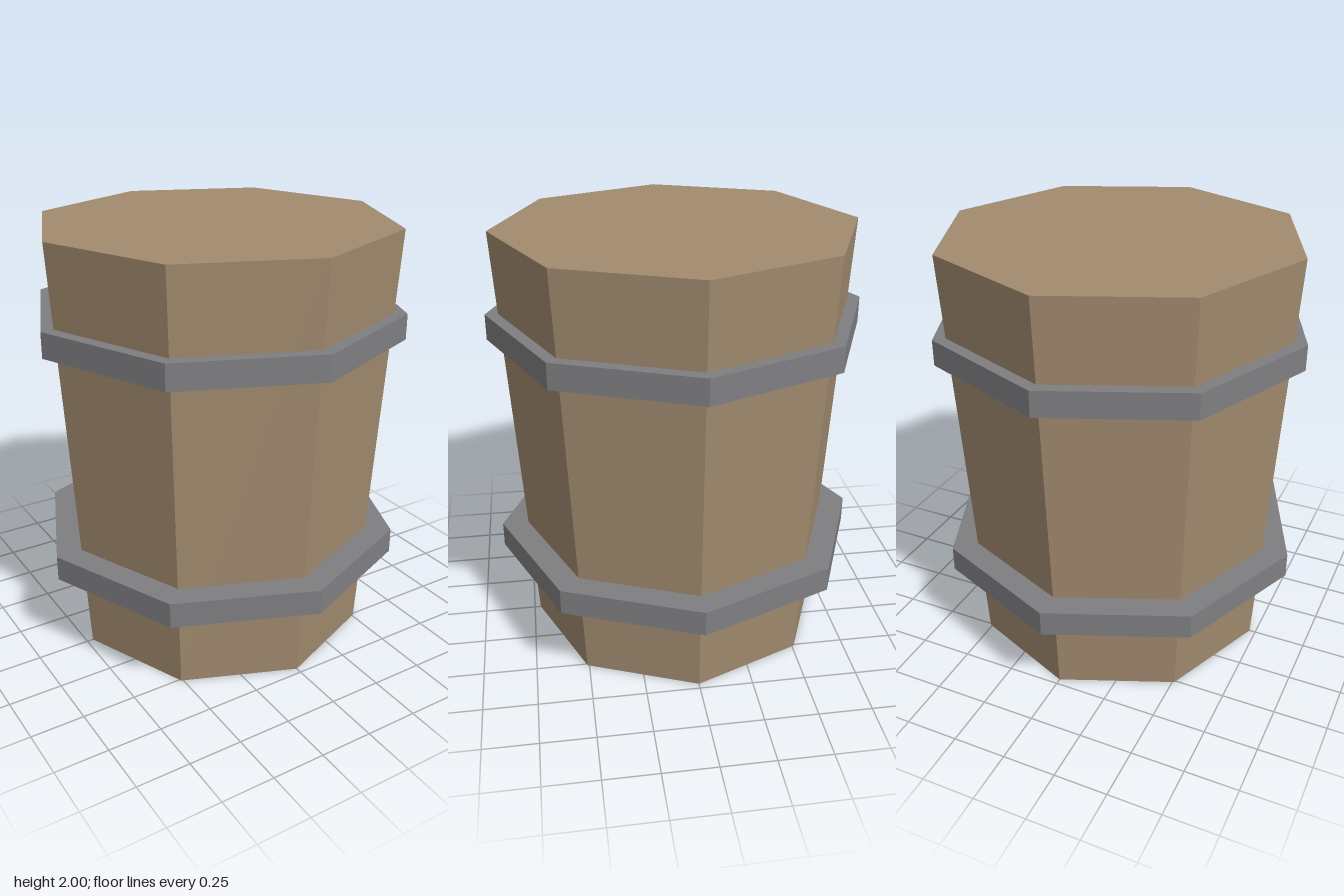
import * as THREE from 'three';

const wood = new THREE.MeshStandardMaterial({ color: 0xa28b6f });
wood.name = 'wood';
const iron = new THREE.MeshStandardMaterial({ color: 0x7f7f82 });
iron.name = 'iron';

// Eight-sided faceted drum standing on height y, with a corner facing +z
function drum(name, topRadius, bottomRadius, height, y, material) {
  const geometry = new THREE.CylinderGeometry(topRadius, bottomRadius, height, 8).toNonIndexed();
  geometry.computeVertexNormals();
  const mesh = new THREE.Mesh(geometry, material);
  mesh.name = name;
  mesh.position.y = y + height / 2;
  return mesh;
}

export function createModel() {
  const barrel = new THREE.Group();
  barrel.name = 'barrel';

  // Tapered wooden body, wider at the top
  barrel.add(drum('body', 0.84, 0.72, 2, 0, wood));

  // Two iron hoops of equal size
  barrel.add(drum('lowerHoop', 0.877, 0.877, 0.12, 0.4, iron));
  barrel.add(drum('upperHoop', 0.877, 0.877, 0.12, 1.5, iron));

  return barrel;
}
